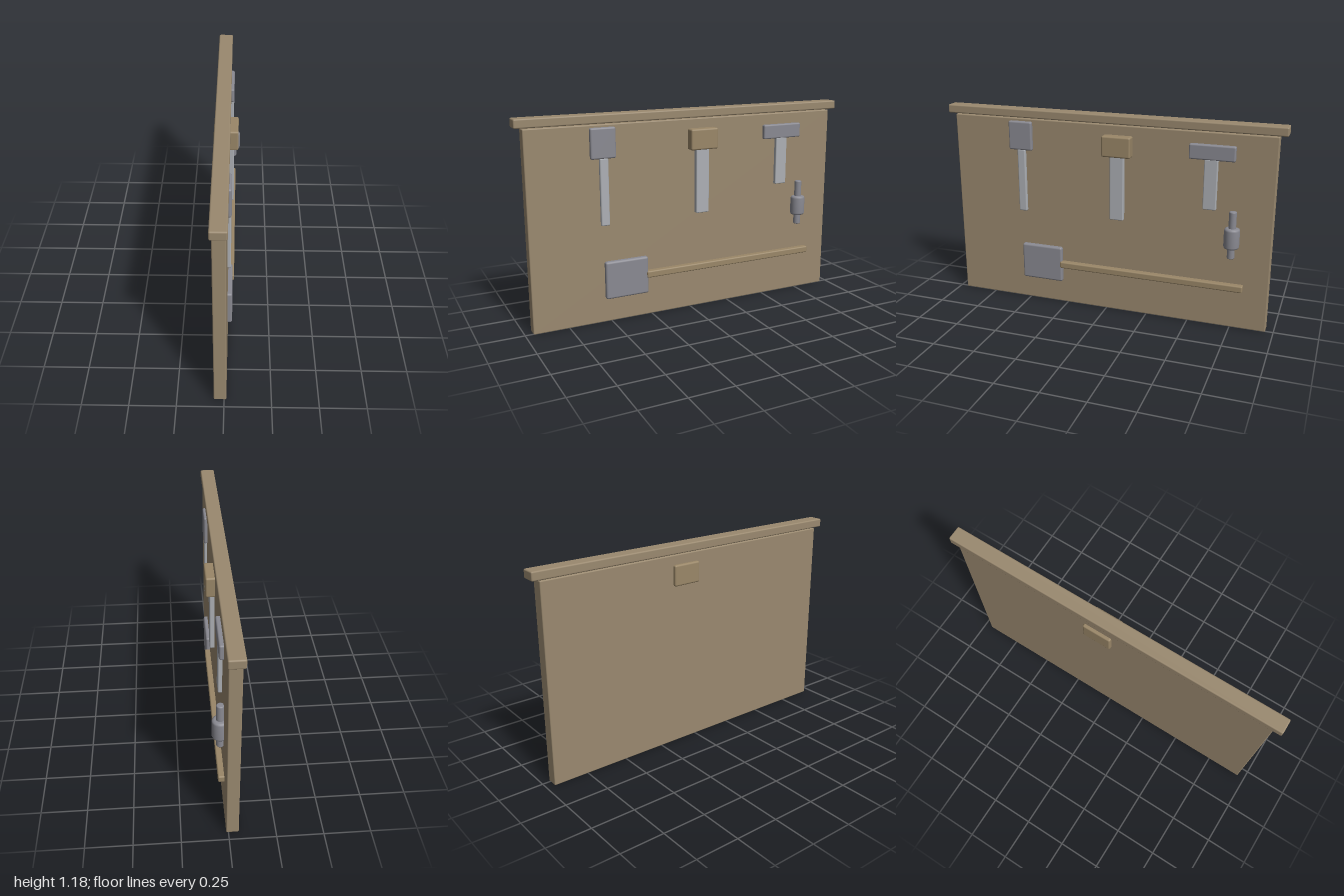
import * as THREE from 'three';
import { RoundedBoxGeometry } from 'three/addons/geometries/RoundedBoxGeometry.js';

function material(name, color) {
  const m = new THREE.MeshStandardMaterial({ color });
  m.name = name;
  return m;
}

export function createModel() {
  const group = new THREE.Group();
  group.name = 'toolBoard';
  const boardWood = material('boardWood', 0x9a896f);
  const toolWood = material('toolWood', 0x9a8768);
  const steel = material('steel', 0x8a8a92);
  const paleSteel = material('paleSteel', 0xadb0b5);

  // Softly bevelled block given by its limits on each axis
  function block(name, mat, [x0, x1], [y0, y1], [z0, z1], r = 0.006) {
    const geo = new RoundedBoxGeometry(x1 - x0, y1 - y0, z1 - z0, 2, r);
    const mesh = new THREE.Mesh(geo, mat);
    mesh.name = name;
    mesh.position.set((x0 + x1) / 2, (y0 + y1) / 2, (z0 + z1) / 2);
    group.add(mesh);
  }

  // Upright round bar with bevelled rims
  function roundBar(name, mat, r, [y0, y1], bevel) {
    const profile = [
      [0, y0], [r - bevel, y0], [r - bevel * 0.3, y0 + bevel * 0.3], [r, y0 + bevel],
      [r, y1 - bevel], [r - bevel * 0.3, y1 - bevel * 0.3], [r - bevel, y1], [0, y1],
    ].map(([x, y]) => new THREE.Vector2(x, y));
    const mesh = new THREE.Mesh(new THREE.LatheGeometry(profile, 24), mat);
    mesh.name = name;
    mesh.position.set(0.029, 0, -0.738);
    group.add(mesh);
  }

  // Board and top rail
  block('board', boardWood, [-0.055, 0.012], [0, 1.13], [-0.955, 0.955]);
  block('topRail', boardWood, [-0.065, 0.02], [1.135, 1.185], [-1, 1], 0.008);

  // Flat-headed chisel
  block('chiselHead', steel, [0, 0.033], [0.945, 1.115], [0.455, 0.6], 0.01);
  block('chiselShaft', paleSteel, [0, 0.03], [0.57, 0.95], [0.5, 0.55], 0.008);

  // Mallet, its head passing through the board
  block('malletHead', toolWood, [-0.073, 0.063], [0.955, 1.075], [-0.155, 0.015], 0.01);
  block('malletHandle', paleSteel, [0, 0.038], [0.58, 0.965], [-0.11, -0.028]);

  // Hammer
  block('hammerHead', steel, [-0.005, 0.036], [0.98, 1.065], [-0.735, -0.48], 0.009);
  block('hammerHandle', paleSteel, [0, 0.034], [0.7, 0.985], [-0.642, -0.567]);

  // Small round tool with a thick grip
  roundBar('roundToolShaft', steel, 0.021, [0.43, 0.705], 0.006);
  roundBar('roundToolGrip', steel, 0.044, [0.49, 0.61], 0.014);

  // Shovel lying across the lower board
  block('shovelBlade', steel, [-0.005, 0.037], [0.14, 0.36], [0.278, 0.535], 0.012);
  block('shovelHandle', toolWood, [0.005, 0.045], [0.233, 0.273], [-0.815, 0.288], 0.008);

  return group;
}
